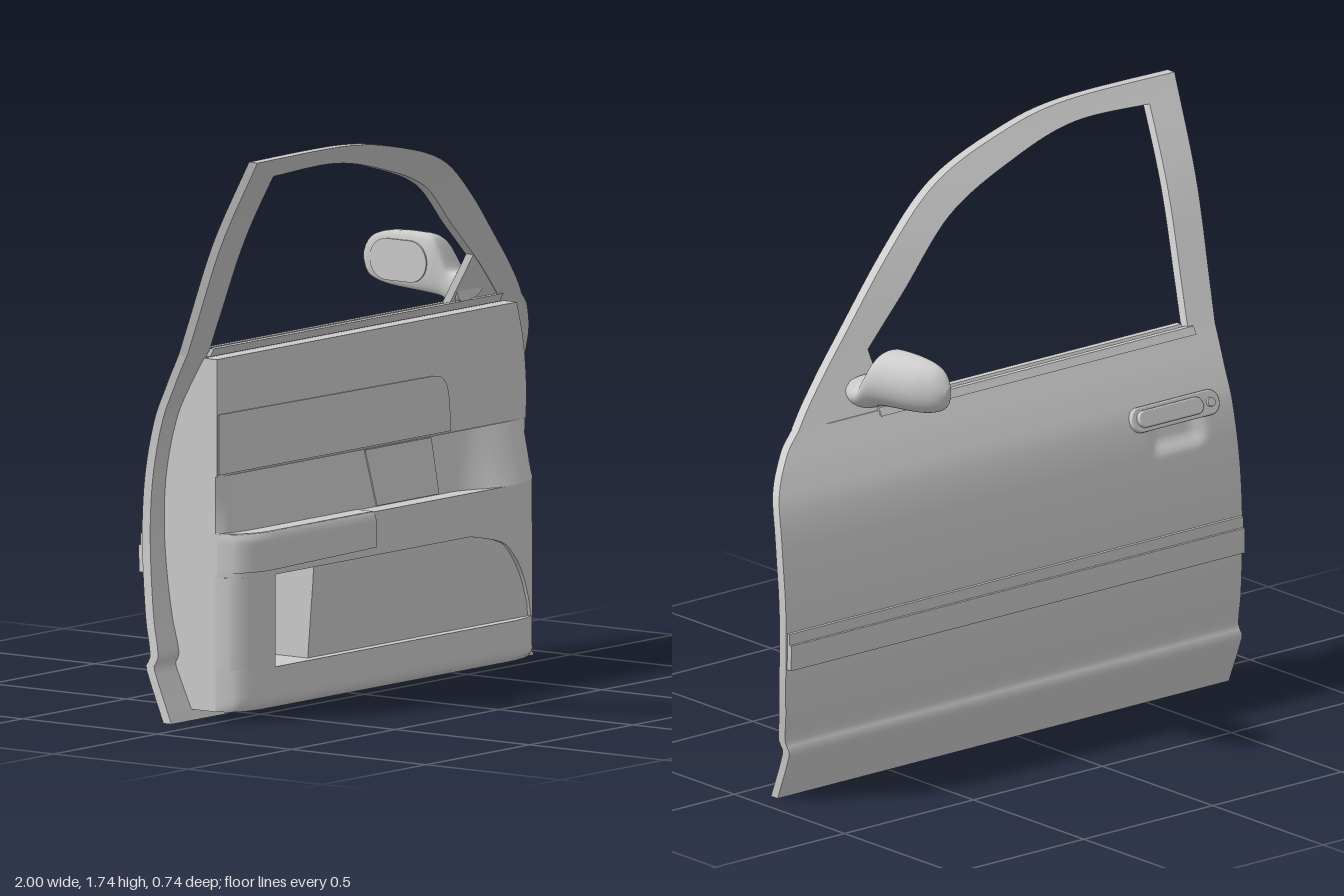
import * as THREE from 'three';

const clamp = THREE.MathUtils.clamp, lerp = THREE.MathUtils.lerp;
const smooth = THREE.MathUtils.smoothstep;

// Catmull-Rom interpolation through [key, value] pairs
function profile(pts) {
  const slope = i => {
    const a = pts[Math.max(i - 1, 0)], b = pts[Math.min(i + 1, pts.length - 1)];
    return (b[1] - a[1]) / (b[0] - a[0]);
  };
  return k => {
    let i = 0;
    while (i < pts.length - 2 && k > pts[i + 1][0]) i++;
    const [k0, v0] = pts[i], [k1, v1] = pts[i + 1], d = k1 - k0;
    const t = clamp((k - k0) / d, 0, 1), s = t * t * (3 - 2 * t);
    return v0 + (v1 - v0) * s + d * t * (1 - t) * ((1 - t) * slope(i) - t * slope(i + 1));
  };
}

// Outer skin depth by height, and the side edges of the panel
const skinZ = profile([[0, -0.115], [0.14, -0.18], [0.165, -0.188], [0.19, -0.175], [0.3, -0.2],
  [0.45, -0.222], [0.6, -0.23], [0.75, -0.218], [0.9, -0.18], [1, -0.13], [1.1, -0.07],
  [1.2, -0.012], [1.47, 0.148], [1.74, 0.345]]);
const rearX = profile([[0, -0.82], [0.15, -0.81], [0.45, -0.78], [0.72, -0.77], [0.95, -0.78], [1.1, -0.805]]);
const frontX = profile([[0, 0.93], [0.15, 0.945], [0.4, 0.985], [0.7, 0.997], [0.85, 0.985],
  [0.95, 0.96], [1.05, 0.88], [1.1, 0.81]]);

// Interior trim: rounded ends and bottom edge, depth by position
const arc = r => Math.sqrt(1 - (1 - clamp(r, 0, 1)) ** 2);
const trimEnds = x => arc(Math.min((x + 0.705) / 0.14, (0.79 - x) / 0.2));
const lowerFront = (x, y) => -0.01 + 0.1 * trimEnds(x) * (0.75 + 0.25 * arc((y - 0.03) / 0.04));
const midFront = (x, y) => {
  const t = 1 - (y - 0.56) / 0.17;
  return -0.01 + trimEnds(x) * (0.01 + t * lerp(0.03, 0.09, smooth(x, 0.38, 0.58)));
};
const trimBack = (x, y) => skinZ(y) + 0.027;

const material = new THREE.MeshStandardMaterial({ color: 0xcccccc });

export function createModel() {
  const door = new THREE.Group();
  door.name = 'carDoor';

  function add(name, geometry, parent = door) {
    const mesh = new THREE.Mesh(geometry, material);
    mesh.name = name;
    parent.add(mesh);
    return mesh;
  }

  // Curved slab: (u, v) gives x and y, then back and front give z
  function slab(name, nu, nv, map, back, front) {
    const g = new THREE.BoxGeometry(1, 1, 1, nu, nv, 1), p = g.attributes.position;
    for (let i = 0; i < p.count; i++) {
      const [x, y] = map(p.getX(i) + 0.5, p.getY(i) + 0.5);
      p.setXYZ(i, x, y, p.getZ(i) < 0 ? back(x, y) : front(x, y));
    }
    g.computeVertexNormals();
    return add(name, g);
  }
  const rect = (x0, x1, y0, y1) => (u, v) => [lerp(x0, x1, u), lerp(y0, y1, v)];
  const skin = (offset = 0) => (x, y) => skinZ(y) + offset;

  // Outer panel with a finger recess below the handle
  const dented = offset => (x, y) => skinZ(y) + offset + 0.022 *
    smooth(x, -0.66, -0.62) * (1 - smooth(x, -0.48, -0.44)) *
    smooth(y, 0.79, 0.83) * (1 - smooth(y, 0.88, 0.9));
  slab('outerPanel', 100, 80, (u, v) => {
    const y = 1.1 * v;
    return [lerp(rearX(y), frontX(y), u), y];
  }, dented(0), dented(0.03));

  // Window frame: curved top rail and leaning rear pillar
  const curve = pts => new THREE.SplineCurve(pts.map(p => new THREE.Vector2(...p)));
  const outer = curve([[-1, 1.735], [-0.58, 1.735], [-0.31, 1.7], [0, 1.62], [0.28, 1.475],
    [0.57, 1.28], [0.73, 1.165], [0.81, 1.1]]);
  const inner = curve([[-0.865, 1.675], [-0.58, 1.68], [-0.31, 1.63], [0, 1.535], [0.28, 1.37],
    [0.5, 1.235], [0.62, 1.155], [0.7, 1.1]]);
  slab('windowTopRail', 70, 4, (u, v) => {
    const p = inner.getPoint(u).lerp(outer.getPoint(u), v);
    return [p.x, p.y];
  }, skin(), skin(0.032));
  slab('windowRearPillar', 4, 30, (u, v) => [
    lerp(lerp(-0.805, -1, v), lerp(-0.7, -0.865, v), u),
    lerp(1.1, lerp(1.735, 1.675, u), v)], skin(), skin(0.032));
  slab('mirrorCornerPlate', 8, 8, (u, v) => [0.46 + 0.24 * u, lerp(1.1, lerp(1.27, 1.1, u), v)],
    skin(0.003), skin(0.03));
  slab('innerBeltSeal', 1, 2, rect(-0.7, 0.7, 1.085, 1.11), skin(0.025), skin(0.045));
  slab('outerBeltSeal', 1, 2, rect(-0.72, 0.5, 1.085, 1.108), skin(-0.006), skin(0.01));

  // Side moulding in two ridges
  for (const [y0, y1, out] of [[0.435, 0.515, 0.018], [0.515, 0.55, 0.01]])
    slab('sideMoulding', 20, 4, (u, v) => {
      const y = lerp(y0, y1, v);
      return [lerp(rearX(y) + 0.005, frontX(y) - 0.005, u), y];
    }, skin(-out), skin(0.01));

  // Lower trim: rails and posts around the map pocket
  const pocketEdge = profile([[0.155, 0.72], [0.23, 0.69], [0.3, 0.65], [0.36, 0.6], [0.4, 0.54], [0.43, 0.4]]);
  slab('trimBottomRail', 80, 10, rect(-0.705, 0.79, 0.03, 0.155), trimBack, lowerFront);
  slab('trimShelfRail', 80, 4, rect(-0.705, 0.79, 0.43, 0.56), trimBack, lowerFront);
  slab('trimRearPost', 16, 4, rect(-0.705, -0.545, 0.155, 0.43), trimBack, lowerFront);
  slab('trimFrontPost', 24, 24, (u, v) => {
    const y = lerp(0.155, 0.43, v);
    return [lerp(pocketEdge(y), 0.79, u), y];
  }, trimBack, lowerFront);
  slab('pocketPanel', 40, 6, rect(-0.35, 0.76, 0.155, 0.43), trimBack,
    (x, y) => Math.min(lerp(0.06, 0.083, (y - 0.155) / 0.275), lowerFront(x, y) - 0.008));
  slab('pocketBack', 2, 4, rect(-0.545, -0.35, 0.155, 0.43), trimBack, () => -0.07);

  // Middle and upper trim
  slab('trimMiddle', 80, 8, rect(-0.705, 0.79, 0.56, 0.73), trimBack, midFront);
  const upperEdge = profile([[0.73, 0.79], [0.85, 0.79], [0.97, 0.775], [1.08, 0.745]]);
  slab('trimUpper', 4, 16, (u, v) => {
    const y = lerp(0.73, 1.08, v);
    return [lerp(-0.705, upperEdge(y), u), y];
  }, trimBack, () => -0.005);
  slab('pullPanel', 8, 4, (u, v) => [lerp(lerp(0.02, 0, v), 0.32, u), lerp(0.562, 0.728, v)],
    (x, y) => midFront(x, y) - 0.02, (x, y) => midFront(x, y) + 0.004);

  // Raised insert with one rounded corner
  const insert = new THREE.Shape();
  insert.moveTo(-0.7, 0.735);
  insert.lineTo(0.42, 0.735);
  insert.bezierCurveTo(0.415, 0.86, 0.41, 0.905, 0.34, 0.908);
  insert.lineTo(-0.7, 0.915);
  add('trimInsert', new THREE.ExtrudeGeometry(insert, { depth: 0.012, bevelEnabled: false, curveSegments: 12 }))
    .position.z = -0.012;

  // Armrest
  slab('armrest', 40, 8, (u, v) => [lerp(-0.705, -0.07, u), lerp(lerp(0.445, 0.455, u), 0.562, v)],
    () => -0.02, (x, y) => -0.005 + 0.105 * trimEnds(x) - 0.012 * (1 - arc((0.562 - y) / 0.03)));

  // Exterior handle laid on the sloping skin
  const handle = new THREE.Group();
  handle.name = 'doorHandle';
  handle.position.set(-0.55, 0.905, skinZ(0.905));
  handle.rotation.x = Math.atan2(skinZ(0.94) - skinZ(0.87), 0.07);
  door.add(handle);
  const pill = (hx, r) => {
    const s = new THREE.Shape();
    s.absarc(hx - r, 0, r, -Math.PI / 2, Math.PI / 2);
    s.absarc(r - hx, 0, r, Math.PI / 2, Math.PI * 1.5);
    return s;
  };
  const bevel = { bevelSize: 0.005, bevelThickness: 0.005, bevelSegments: 3, curveSegments: 12 };
  add('handleBase', new THREE.ExtrudeGeometry(pill(0.165, 0.033), { depth: 0.015, ...bevel }), handle)
    .position.z = -0.008;
  add('handleGrip', new THREE.ExtrudeGeometry(pill(0.12, 0.021), { depth: 0.018, ...bevel }), handle)
    .position.set(0.025, 0, -0.02);
  const lock = add('keyLock', new THREE.CylinderGeometry(0.014, 0.014, 0.02, 20), handle);
  lock.rotation.x = Math.PI / 2;
  lock.position.set(-0.132, 0, -0.012);

  // Door mirror: D-shaped sections lofted outward along -z
  const sections = [[-0.015, 1.11, 1.2, 0.47, 0.6], [-0.06, 1.11, 1.2, 0.47, 0.585],
    [-0.085, 1.12, 1.25, 0.467, 0.58], [-0.11, 1.125, 1.293, 0.462, 0.578], [-0.16, 1.13, 1.305, 0.46, 0.572],
    [-0.27, 1.14, 1.303, 0.46, 0.55], [-0.325, 1.155, 1.287, 0.46, 0.525],
    [-0.35, 1.175, 1.262, 0.462, 0.505], [-0.362, 1.205, 1.235, 0.468, 0.488]];
  const [bottom, top, rear, front] = [1, 2, 3, 4].map(c =>
    profile(sections.map(s => [-s[0], s[c]])));
  const housing = new THREE.CylinderGeometry(1, 1, 1, 40, 40), hp = housing.attributes.position;
  for (let i = 0; i < hp.count; i++) {
    const d = lerp(0.015, 0.362, hp.getY(i) + 0.5), c = hp.getX(i), s = hp.getZ(i);
    const x0 = rear(d), x1 = front(d), xm = lerp(x0, x1, 0.3);
    const x = c > 0 ? lerp(xm, x1, c) : lerp(xm, x0, Math.sqrt(-c));
    hp.setXYZ(i, x, lerp(bottom(d), top(d), s / 2 + 0.5), -d);
  }
  housing.computeVertexNormals();
  add('mirrorHousing', housing);
  const glass = add('mirrorGlass', new THREE.ExtrudeGeometry(pill(0.105, 0.062),
    { depth: 0.006, bevelEnabled: false, curveSegments: 16 }));
  glass.rotation.y = -Math.PI / 2;
  glass.position.set(0.463, 1.218, -0.226);

  return door;
}
